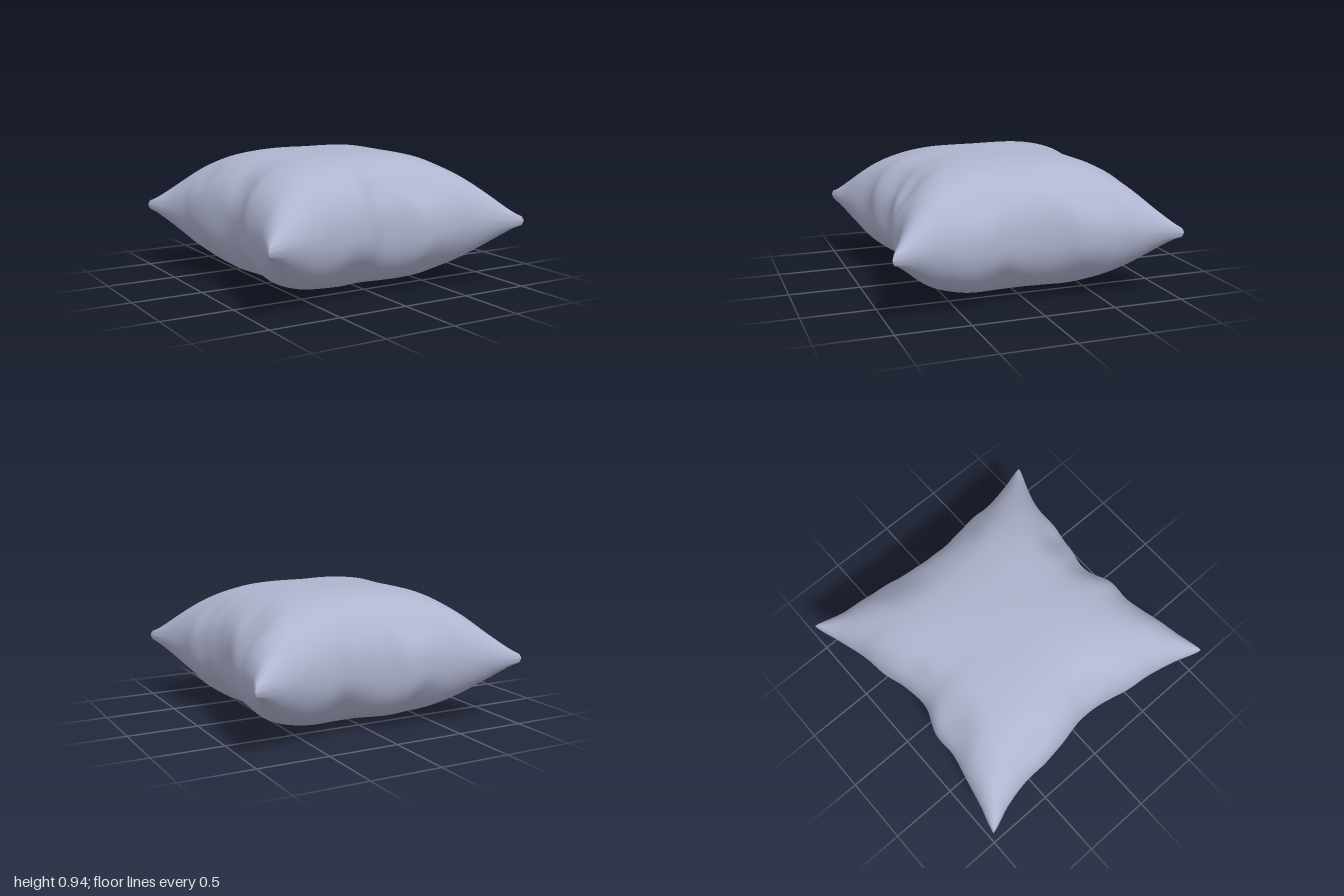
import * as THREE from 'three';
import { mergeGeometries, mergeVertices } from 'three/addons/utils/BufferGeometryUtils.js';

const SEGMENTS = 80;
const HALF_HEIGHT = 0.468;

// how far out each seam runs, sampled evenly from corner to corner
const seam = (values) => new THREE.SplineCurve(values.map((d, i) => new THREE.Vector2(i, d)));
const LEFT = seam([1, 0.94, 0.91, 0.89, 0.835, 0.82, 0.84, 0.885, 0.89, 0.94, 1]);
const RIGHT = seam([1, 0.925, 0.88, 0.87, 0.84, 0.8, 0.81, 0.86, 0.885, 0.935, 1]);
const BACK = seam([1, 0.945, 0.9, 0.855, 0.85, 0.775, 0.79, 0.845, 0.875, 0.935, 1]);
const FRONT = seam([1, 0.95, 0.9, 0.84, 0.835, 0.77, 0.81, 0.85, 0.855, 0.92, 1]);

// soft hollows in the cloth: u, v, radius, depth, side (1 top, -1 bottom)
const DENTS = [
  [0.3, 0.9, 0.17, 0.22, 1], [-0.05, 0.95, 0.12, 0.15, 1],
  [-0.28, -0.92, 0.17, 0.22, 1], [0.15, -0.95, 0.12, 0.12, 1],
  [0.92, -0.42, 0.2, 0.2, 1], [0.92, 0.35, 0.15, 0.15, 1],
  [-0.92, -0.45, 0.14, 0.14, 1], [-0.95, 0.1, 0.12, 0.12, 1],
  [-0.2, 0.92, 0.2, 0.2, -1], [0.4, 0.95, 0.14, 0.16, -1],
  [0.25, -0.92, 0.18, 0.2, -1], [-0.35, -0.95, 0.14, 0.18, -1],
  [0.94, 0.2, 0.16, 0.2, -1], [0.95, -0.35, 0.14, 0.16, -1],
  [-0.94, 0.15, 0.17, 0.2, -1], [-0.95, -0.35, 0.13, 0.16, -1],
];

// 0 at the seam, rising quickly to 1 over the middle
const swell = (t, power) => Math.pow(Math.max(0, 1 - Math.pow(Math.abs(t), 3.2)), power);

// irregular gather along a seam, fading out at the corners
const gather = (t, phase) =>
  (1 - t * t) * (Math.sin(6.5 * t + phase) + 0.7 * Math.sin(14 * t + 2.3 * phase) + 0.4 * Math.sin(29 * t + phase));

function cushionPoint(u, v, side) {
  const phaseX = u > 0 ? 0.7 : 2.9;
  const phaseZ = v > 0 ? 1.6 : 4.4;
  const outX = THREE.MathUtils.lerp(RIGHT.getPoint((v + 1) / 2).y, LEFT.getPoint((v + 1) / 2).y, (u + 1) / 2);
  const outZ = THREE.MathUtils.lerp(BACK.getPoint((u + 1) / 2).y, FRONT.getPoint((u + 1) / 2).y, (v + 1) / 2);

  // puffed height, slimmer towards the corners, with slightly blunt tips
  const corner = u * u * v * v;
  const power = 0.42 + 0.2 * corner;
  let h = HALF_HEIGHT * swell(u, power) * swell(v, power);
  const toSeam = 1 - Math.max(Math.abs(u), Math.abs(v));
  h += 0.03 * Math.pow(corner, 4) * Math.min(1, toSeam * 120);

  // folds running in from the seams, and hollows
  const foldX = gather(v, phaseX + side) * Math.pow(Math.abs(u), 7);
  const foldZ = gather(u, phaseZ + side) * Math.pow(Math.abs(v), 7);
  h *= 1 + 0.04 * (foldX + foldZ);
  for (const [du, dv, r, depth, s] of DENTS) {
    if (s === side) h *= 1 - depth * Math.exp(-((u - du) ** 2 + (v - dv) ** 2) / (r * r));
  }
  const seamWave = gather(v, phaseX + 1) * Math.pow(u, 8) + gather(u, phaseZ + 1) * Math.pow(v, 8);
  return [u * outX, HALF_HEIGHT + side * h + 0.008 * seamWave, v * outZ];
}

function clothPanel(side) {
  const panel = new THREE.PlaneGeometry(2, 2, SEGMENTS, SEGMENTS);
  panel.rotateX(-side * Math.PI / 2);
  panel.deleteAttribute('uv');
  panel.deleteAttribute('normal');
  const pos = panel.attributes.position;
  // crowd the grid lines towards the seams
  const crowd = (t) => Math.sin(t * Math.PI / 2);
  for (let i = 0; i < pos.count; i++) {
    pos.setXYZ(i, ...cushionPoint(crowd(pos.getX(i)), crowd(pos.getZ(i)), side));
  }
  return panel;
}

export function createModel() {
  const group = new THREE.Group();
  group.name = 'pillow';

  // top and bottom panels welded along the seam
  const geometry = mergeVertices(mergeGeometries([clothPanel(1), clothPanel(-1)]), 1e-4);
  geometry.computeVertexNormals();

  const cushion = new THREE.Mesh(geometry, new THREE.MeshStandardMaterial({ color: 0xafb4cf }));
  cushion.name = 'cushion';
  group.add(cushion);
  return group;
}
